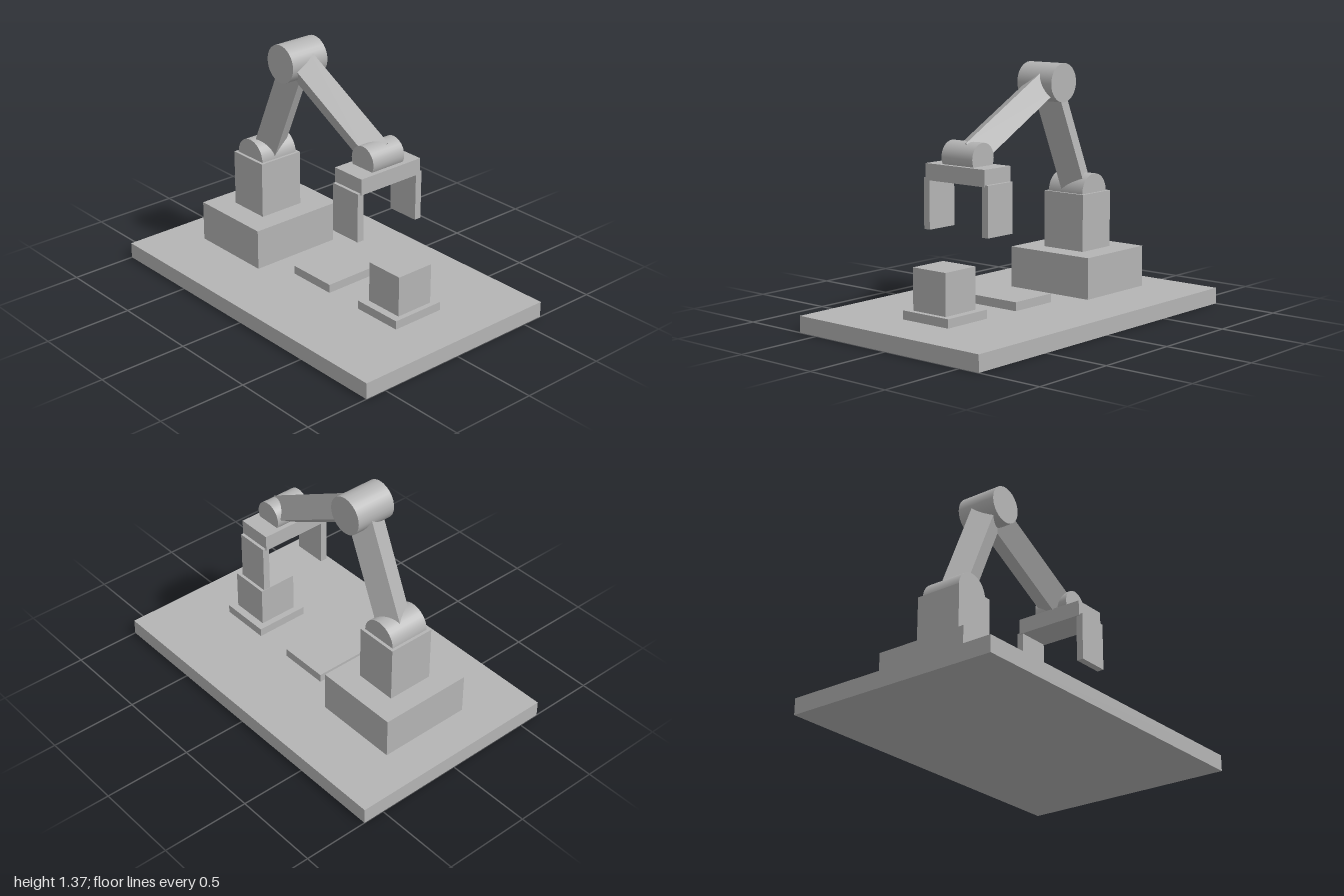
import * as THREE from 'three';

export function createModel() {
  const group = new THREE.Group();
  const grey = new THREE.MeshStandardMaterial({ color: 0xb4b4b4 });
  grey.name = 'plainGrey';

  function add(name, geometry) {
    const mesh = new THREE.Mesh(geometry, grey);
    mesh.name = name;
    group.add(mesh);
    return mesh;
  }

  // Box given by its x and y ranges, centre z and depth
  function box(name, x0, x1, y0, y1, depth, z = 0) {
    add(name, new THREE.BoxGeometry(x1 - x0, y1 - y0, depth))
      .position.set((x0 + x1) / 2, (y0 + y1) / 2, z);
  }

  // Round joint with its axle along z
  function joint(name, centre, radius, width) {
    const geometry = new THREE.CylinderGeometry(radius, radius, width, 32);
    geometry.rotateX(Math.PI / 2);
    add(name, geometry).position.copy(centre);
  }

  // Square beam between two joints, twisted about its own length
  function beam(name, from, to) {
    const along = new THREE.Vector3().subVectors(to, from);
    const side = 0.134;
    const geometry = new THREE.BoxGeometry(side, along.length(), side);
    geometry.rotateY(Math.PI / 4 - 0.32);
    geometry.rotateZ(Math.atan2(-along.x, along.y));
    add(name, geometry).position.addVectors(from, to).multiplyScalar(0.5);
  }

  // Table and arm base
  box('basePlate', -1, 1, 0, 0.09, 1.25);
  box('pedestal', -0.775, -0.28, 0.09, 0.32, 0.546);
  box('column', -0.65, -0.405, 0.32, 0.638, 0.273);

  // Work pads and the block to be picked up
  box('emptyPad', -0.105, 0.187, 0.09, 0.138, 0.316);
  box('loadedPad', 0.417, 0.71, 0.09, 0.138, 0.316);
  box('workBlock', 0.454, 0.68, 0.138, 0.365, 0.228);

  // Arm
  const shoulder = new THREE.Vector3(-0.527, 0.638, 0);
  const elbow = new THREE.Vector3(-0.255, 1.265, 0);
  const wrist = new THREE.Vector3(0.385, 0.915, 0);
  joint('shoulderJoint', shoulder, 0.106, 0.238);
  joint('elbowJoint', elbow, 0.106, 0.238);
  joint('wristJoint', wrist, 0.083, 0.214);
  beam('upperArm', shoulder, elbow);
  beam('forearm', elbow, wrist);

  // Gripper
  box('gripperBar', 0.284, 0.486, 0.788, 0.877, 0.41);
  for (const s of [1, -1]) {
    box(s > 0 ? 'frontFinger' : 'backFinger', 0.29, 0.48, 0.526, 0.797, 0.04, s * 0.203);
  }
  return group;
}
